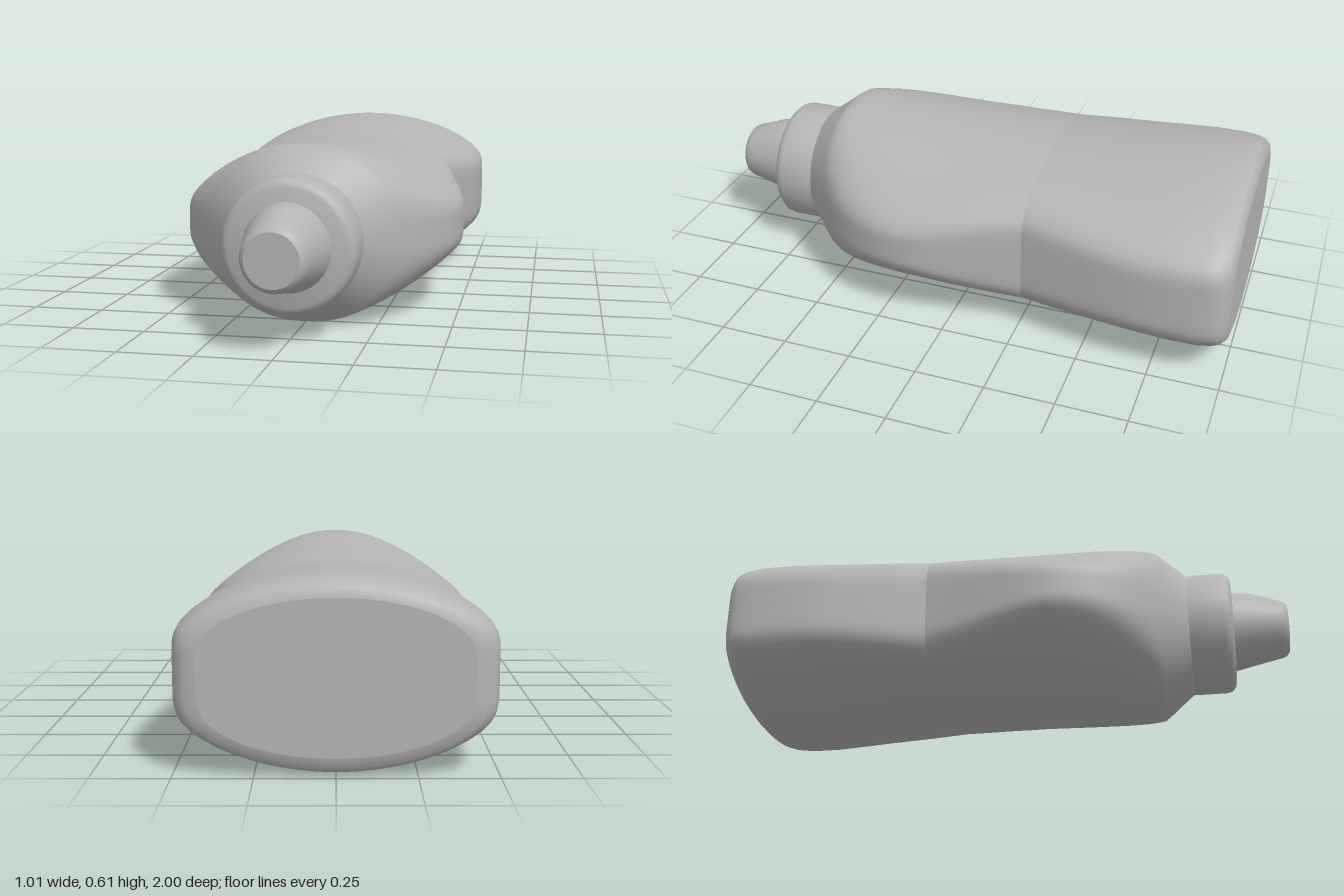
import * as THREE from 'three';
import { toCreasedNormals } from 'three/addons/utils/BufferGeometryUtils.js';

const SIDES = 80;
const AXIS_Y = 0.308; // height of the bottle's long axis

// Cross-section: [z, half width, half height, crown curvature, corner squareness]
const REAR = [
  [-1.0, 0.42, 0.245, 0.5, 5],
  [-0.993, 0.455, 0.276, 0.52, 5.5],
  [-0.975, 0.479, 0.294, 0.54, 6],
  [-0.95, 0.492, 0.302, 0.55, 6.5],
  [-0.9, 0.502, 0.307, 0.55, 7],
  [-0.8, 0.506, 0.307, 0.55, 7],
  [-0.7, 0.503, 0.3, 0.54, 7],
  [-0.6, 0.49, 0.291, 0.52, 7],
  [-0.4, 0.448, 0.276, 0.47, 7],
  [-0.27, 0.42, 0.267, 0.45, 7],
];
const FRONT = [
  [-0.27, 0.42, 0.267, 0.45, 7],
  [-0.15, 0.447, 0.273, 0.53, 6.7],
  [0.0, 0.485, 0.28, 0.62, 6.3],
  [0.08, 0.5, 0.284, 0.67, 6],
  [0.16, 0.506, 0.288, 0.7, 5.7],
  [0.24, 0.496, 0.292, 0.72, 5.2],
  [0.32, 0.473, 0.296, 0.74, 4.7],
  [0.4, 0.435, 0.3, 0.75, 4.1],
  [0.46, 0.39, 0.303, 0.75, 3.6],
  [0.5, 0.354, 0.304, 0.72, 3.2],
  [0.53, 0.325, 0.303, 0.65, 2.9],
  [0.55, 0.306, 0.291, 0.5, 2.6],
  [0.6, 0.258, 0.254, 0.2, 2.2],
  [0.645, 0.218, 0.221, 0, 2],
];

// Rounded section with crowned top and bottom
function sectionPoint([z, w, h, crown, n], a) {
  const c = Math.cos(a), s = Math.sin(a);
  const r = Math.pow(Math.abs(c) ** n + Math.abs(s) ** n, -1 / n);
  const x = w * r * c;
  return [x, r * s * (h - crown * x * x), z];
}

function makeGeometry(positions, index) {
  const g = new THREE.BufferGeometry();
  g.setAttribute('position', new THREE.Float32BufferAttribute(positions, 3));
  g.setIndex(index);
  g.computeVertexNormals();
  return g;
}

function ring(station) {
  const out = [];
  for (let j = 0; j < SIDES; j++) out.push(...sectionPoint(station, (j / SIDES) * Math.PI * 2));
  return out;
}

function loft(stations) {
  const index = [];
  for (let i = 0; i < stations.length - 1; i++) {
    for (let j = 0; j < SIDES; j++) {
      const k = (j + 1) % SIDES;
      const a = i * SIDES + j, b = i * SIDES + k;
      index.push(a, b, b + SIDES, a, b + SIDES, a + SIDES);
    }
  }
  return makeGeometry(stations.flatMap(ring), index);
}

// Flat base closing the rear of the bottle
function basePlate(station) {
  const index = [];
  for (let j = 0; j < SIDES; j++) index.push(SIDES, (j + 1) % SIDES, j);
  return makeGeometry([...ring(station), 0, 0, station[0]], index);
}

// Turned part along z, profile given as [radius, z]
function turned(profile, segments) {
  const points = profile.map(([r, z]) => new THREE.Vector2(r, z));
  return new THREE.LatheGeometry(points, segments).rotateX(Math.PI / 2);
}

export function createModel() {
  const group = new THREE.Group();
  group.name = 'squeezeBottle';
  const grey = new THREE.MeshStandardMaterial({ color: 0xb4b4b4 });
  grey.name = 'plain grey';

  const add = (name, geometry) => {
    const mesh = new THREE.Mesh(geometry, grey);
    mesh.name = name;
    mesh.position.y = AXIS_Y;
    group.add(mesh);
  };

  // Body halves meet in a crease at the waist
  add('rearBody', loft(REAR));
  add('frontBody', loft(FRONT));
  add('base', basePlate(REAR[0]));

  // Screw cap with a softened front rim
  const cap = turned([
    [0.0, 0.635], [0.22, 0.635], [0.223, 0.66], [0.223, 0.765],
    [0.219, 0.782], [0.208, 0.794], [0.195, 0.8], [0, 0.8],
  ], 64);
  add('cap', toCreasedNormals(cap, 0.6));

  // Tapered nozzle, slightly raised along its upper side
  const nozzle = turned([
    [0.146, 0.795], [0.138, 0.83], [0.127, 0.88], [0.112, 0.95],
    [0.107, 0.975], [0.1, 0.991], [0.088, 1.0], [0, 1.0],
  ], 32);
  const p = nozzle.attributes.position;
  for (let i = 0; i < p.count; i++) {
    const up = Math.max(0, p.getY(i)) / 0.13;
    const lift = Math.max(0, 1 - Math.abs(p.getZ(i) - 0.88) / 0.1);
    p.setY(i, p.getY(i) + 0.018 * lift * up ** 3);
  }
  add('nozzle', toCreasedNormals(nozzle, 0.6));

  return group;
}
